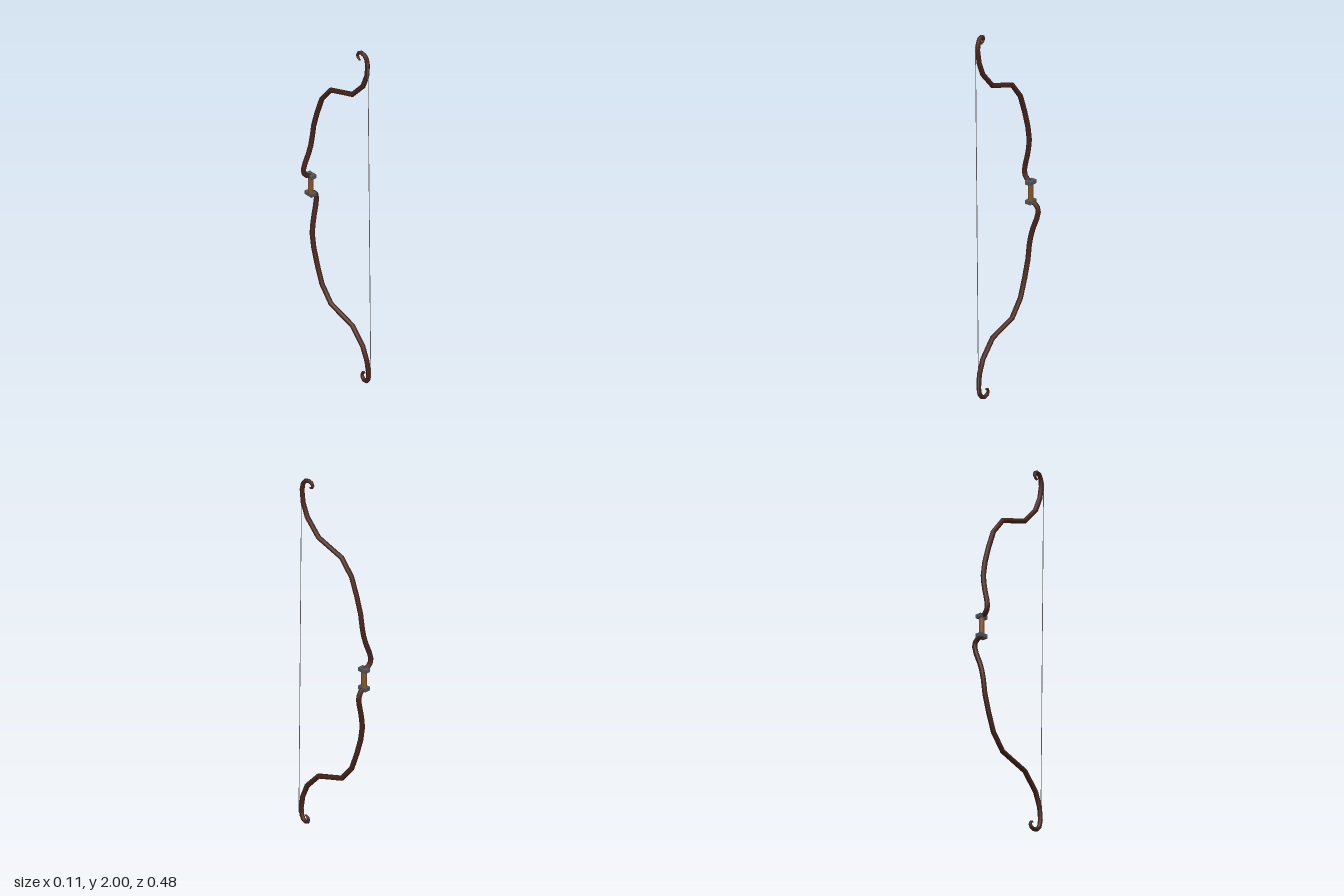
import * as THREE from 'three';

const MID_Y = 1.002;

// Centre line of the upper limb, measured from the middle of the grip: x, y, z, radius
const LIMB = [
  [0, 0.053, -0.212, 0.011], [-0.024, 0.061, -0.216, 0.0135], [-0.039, 0.078, -0.218, 0.0135],
  [-0.044, 0.102, -0.218, 0.0135], [-0.036, 0.14, -0.215, 0.0135], [-0.018, 0.195, -0.208, 0.0135],
  [-0.007, 0.24, -0.204, 0.0135], [0, 0.288, -0.201, 0.0135], [0, 0.366, -0.189, 0.0135],
  [0, 0.455, -0.163, 0.0135], [0, 0.555, -0.127, 0.0135], [0, 0.641, -0.058, 0.0135],
  [0, 0.694, 0.105, 0.0135], [0, 0.782, 0.185, 0.0135], [-0.001, 0.856, 0.215, 0.013],
  [-0.003, 0.925, 0.224, 0.0125], [-0.005, 0.963, 0.218, 0.012], [-0.008, 0.982, 0.204, 0.0115],
  [-0.01, 0.987, 0.184, 0.011], [-0.013, 0.98, 0.168, 0.0098], [-0.015, 0.965, 0.161, 0.0085],
  [-0.016, 0.951, 0.166, 0.007], [-0.016, 0.945, 0.177, 0.0055], [-0.016, 0.947, 0.187, 0.001],
];

// Curve that visits the given points exactly, one per tube ring
class Polyline extends THREE.Curve {
  constructor(points) {
    super();
    this.points = points;
  }
  getPointAt(t, target = new THREE.Vector3()) {
    return target.copy(this.points[Math.round(t * (this.points.length - 1))]);
  }
  getTangentAt(t, target = new THREE.Vector3()) {
    const p = this.points, i = Math.round(t * (p.length - 1));
    target.set(0, 0, 0);
    if (i > 0) target.add(p[i].clone().sub(p[i - 1]).normalize());
    if (i < p.length - 1) target.add(p[i + 1].clone().sub(p[i]).normalize());
    return target.normalize();
  }
}

// Tube along the rows, each ring scaled to its own radius
function taperedTube(rows, sides) {
  const points = rows.map(([x, y, z]) => new THREE.Vector3(x, y, z));
  const geo = new THREE.TubeGeometry(new Polyline(points), rows.length - 1, 1, sides);
  const pos = geo.attributes.position, v = new THREE.Vector3();
  for (let k = 0; k < pos.count; k++) {
    const i = Math.floor(k / (sides + 1));
    v.fromBufferAttribute(pos, k).sub(points[i]).multiplyScalar(rows[i][3]).add(points[i]);
    pos.setXYZ(k, v.x, v.y, v.z);
  }
  geo.computeBoundingSphere();
  return geo;
}

export function createModel() {
  const model = new THREE.Group();
  model.name = 'bow';
  const wood = new THREE.MeshStandardMaterial({ color: 0x47251a });
  const metal = new THREE.MeshStandardMaterial({ color: 0x505559 });
  const leather = new THREE.MeshStandardMaterial({ color: 0x86552a });
  const cord = new THREE.MeshStandardMaterial({ color: 0x606060, side: THREE.DoubleSide });

  const add = (name, geo, mat, parent = model) => {
    const mesh = new THREE.Mesh(geo, mat);
    mesh.name = name;
    parent.add(mesh);
    return mesh;
  };

  // Limbs and grip caps: the lower half is the upper half turned half a circle about z
  const limbGeo = taperedTube(LIMB, 10);
  const capGeo = new THREE.BoxGeometry(0.034, 0.02, 0.052);
  for (const [side, turn] of [['upper', 0], ['lower', Math.PI]]) {
    const half = new THREE.Group();
    half.name = side + 'Half';
    half.position.y = MID_Y;
    half.rotation.z = turn;
    add(side + 'Limb', limbGeo, wood, half);
    add(side + 'GripCap', capGeo, metal, half).position.set(0, 0.053, -0.213);
    model.add(half);
  }

  // Grip between the caps
  add('grip', new THREE.CylinderGeometry(0.0145, 0.0145, 0.09, 10), leather)
    .position.set(0, MID_Y, -0.213);

  // String: a thin flat strip leaning slightly, resting on the outside of both tips
  const string = add('string', new THREE.PlaneGeometry(0.005, 1.9), cord);
  string.position.set(0, MID_Y, 0.234);
  string.rotation.z = 0.01;

  return model;
}
